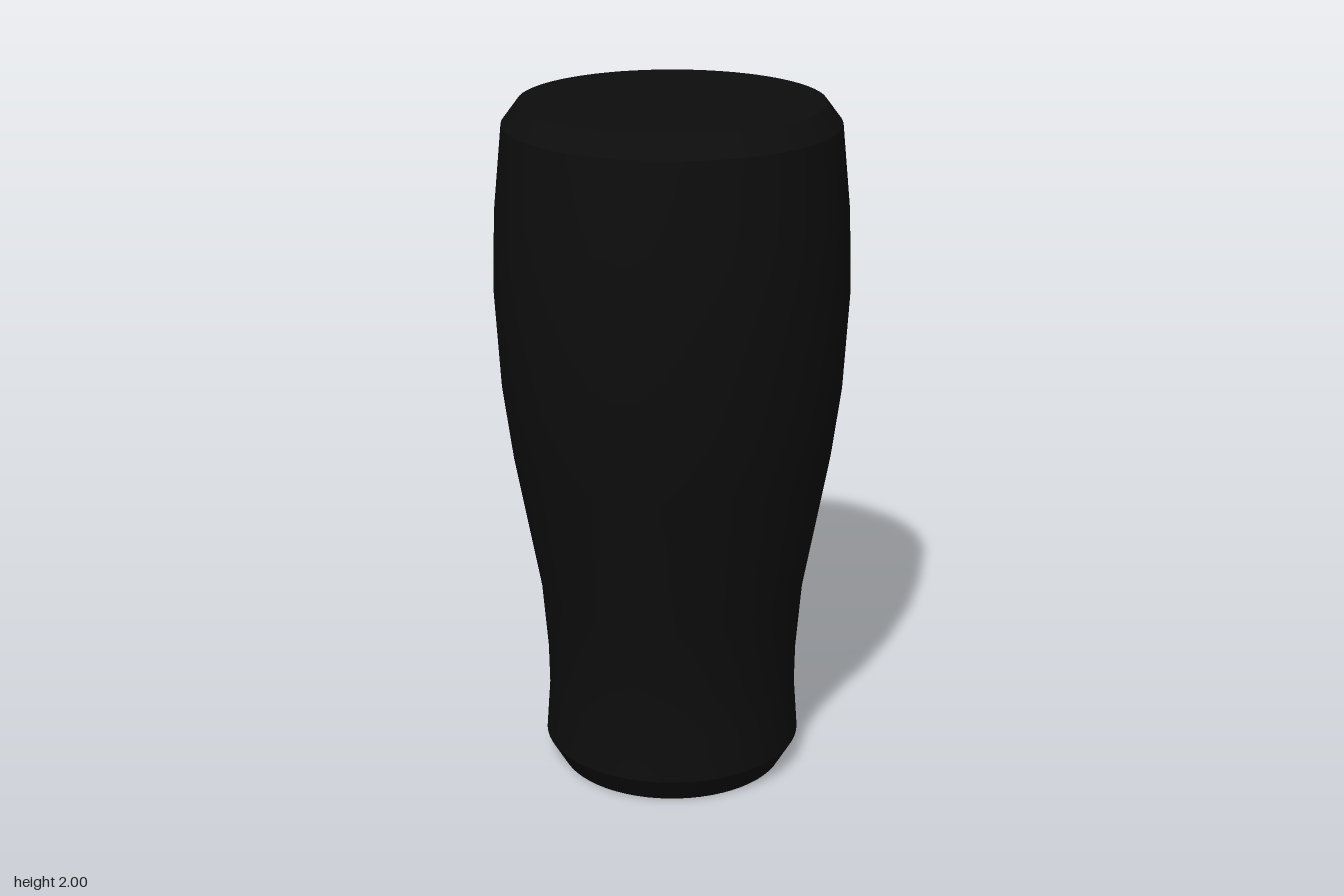
import * as THREE from 'three';

const SEGMENTS = 64;

export function createModel() {
  const model = new THREE.Group();
  model.name = 'tumbler';
  const black = new THREE.MeshStandardMaterial({ color: 0x0d0d0d });
  black.name = 'black';

  // Each part is turned separately so the edges between parts stay crisp
  const turn = (name, profile) => {
    const points = profile.map(([r, y]) => new THREE.Vector2(r, y));
    const mesh = new THREE.Mesh(new THREE.LatheGeometry(points, SEGMENTS), black);
    mesh.name = name;
    model.add(mesh);
  };

  // Flat underside and the flared bevel of the foot
  turn('underside', [[0, 0], [0.335, 0]]);
  turn('footBevel', [[0.335, 0], [0.38, 0.077]]);

  // Narrow waist swelling to a wide shoulder
  turn('body', [
    [0.38, 0.077], [0.369, 0.23], [0.371, 0.35], [0.388, 0.557],
    [0.463, 0.97], [0.491, 1.18], [0.507, 1.46], [0.5, 1.69], [0.475, 1.94],
  ]);

  // Bevelled rim and flat top
  turn('rimBevel', [[0.475, 1.94], [0.43, 2]]);
  turn('topSurface', [[0.43, 2], [0, 2]]);

  return model;
}
